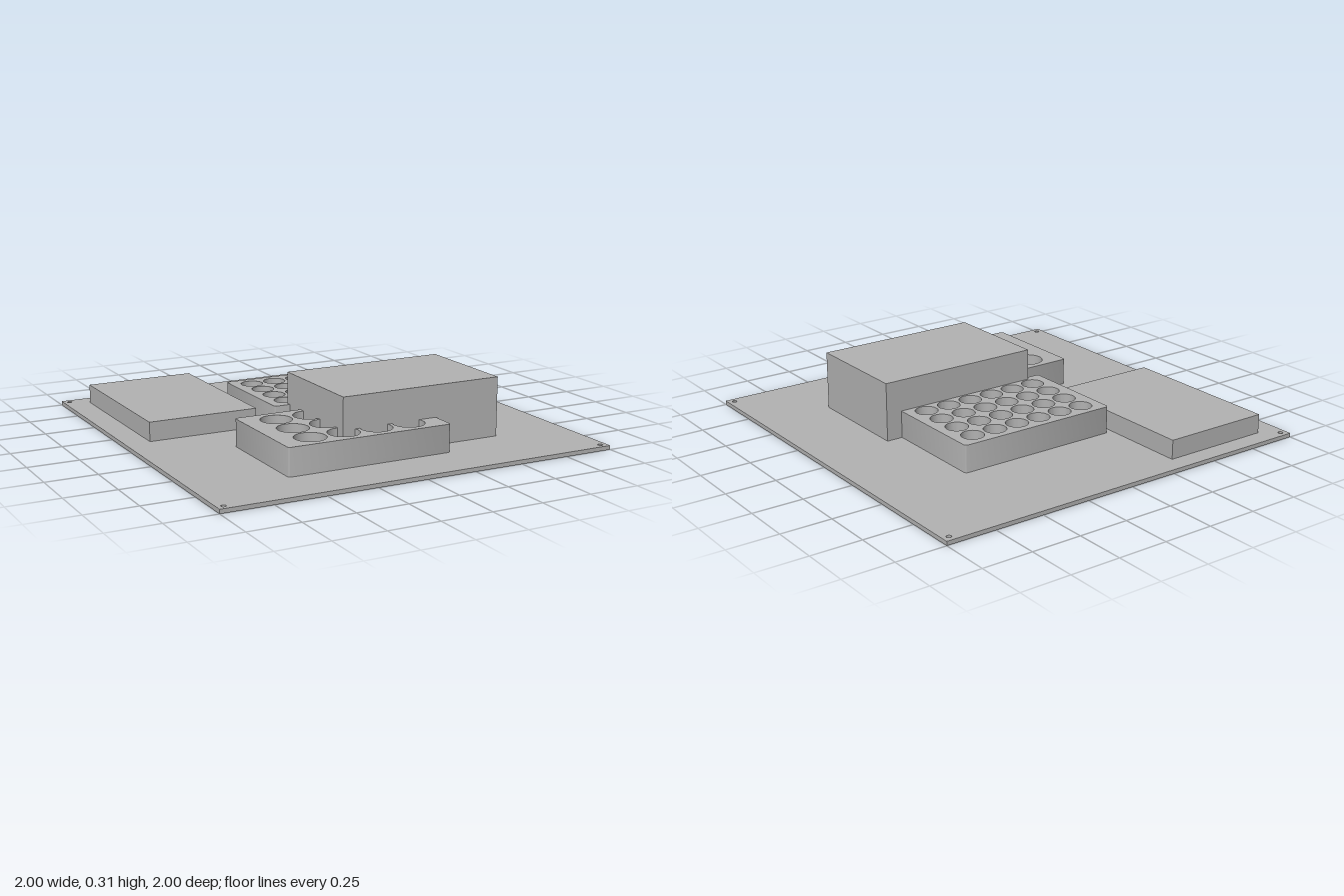
import * as THREE from 'three';
import { toCreasedNormals } from 'three/addons/utils/BufferGeometryUtils.js';

const DECK_TOP = 0.02;
const grey = new THREE.MeshStandardMaterial({ color: 0xb2b2b2 });
grey.name = 'plain grey';

function addMesh(parent, name, geometry) {
  const mesh = new THREE.Mesh(geometry, grey);
  mesh.name = name;
  parent.add(mesh);
}

// Rectangle with rounded corners, centred on the origin
function roundedRect(w, d, r) {
  const x = w / 2, y = d / 2, s = new THREE.Shape();
  s.moveTo(-x + r, -y);
  s.lineTo(x - r, -y).absarc(x - r, -y + r, r, -Math.PI / 2, 0);
  s.lineTo(x, y - r).absarc(x - r, y - r, r, 0, Math.PI / 2);
  s.lineTo(-x + r, y).absarc(-x + r, y - r, r, Math.PI / 2, Math.PI);
  s.lineTo(-x, -y + r).absarc(-x + r, -y + r, r, Math.PI, Math.PI * 1.5);
  return s;
}

function addHole(shape, x, y, r) {
  const hole = new THREE.Path();
  hole.absarc(x, y, r, 0, Math.PI * 2, true);
  shape.holes.push(hole);
}

// Extrudes a floor-plan shape upward from y0 to y1
function slab(shape, y0, y1) {
  const g = new THREE.ExtrudeGeometry(shape, { depth: y1 - y0, bevelEnabled: false, curveSegments: 20 });
  g.rotateX(-Math.PI / 2).translate(0, y0, 0);
  return toCreasedNormals(g, 0.6);
}

// Box standing on the deck, given its plan limits and top height
function block(x0, x1, z0, z1, top) {
  return new THREE.BoxGeometry(x1 - x0, top - DECK_TOP, z1 - z0)
    .translate((x0 + x1) / 2, (top + DECK_TOP) / 2, (z0 + z1) / 2);
}

// Plate with a grid of round wells closed by a thin floor
function wellPlate(name, cx, cz, cols, rows, pitch, radius) {
  const w = 0.835, d = 0.556, corner = 0.015, floor = 0.041, top = 0.155;
  const plate = new THREE.Group();
  plate.name = name;
  const shape = roundedRect(w, d, corner);
  for (let c = 0; c < cols; c++)
    for (let r = 0; r < rows; r++)
      addHole(shape, (c - (cols - 1) / 2) * pitch, (r - (rows - 1) / 2) * pitch, radius);
  addMesh(plate, 'wells', slab(shape, floor, top));
  addMesh(plate, 'plateFloor', slab(roundedRect(w, d, corner), DECK_TOP, floor));
  plate.position.set(cx, 0, cz);
  return plate;
}

export function createModel() {
  const model = new THREE.Group();
  model.name = 'labDeck';

  // Square deck with a mounting hole in each corner
  const deck = new THREE.Shape([[-1, -1], [1, -1], [1, 1], [-1, 1]].map(p => new THREE.Vector2(...p)));
  for (const x of [-0.967, 0.967]) for (const y of [-0.967, 0.967]) addHole(deck, x, y, 0.012);
  addMesh(model, 'deck', slab(deck, 0, DECK_TOP));

  // Plain blocks
  addMesh(model, 'lowBlock', block(-0.878, -0.322, -0.905, -0.07, 0.115));
  addMesh(model, 'tallBlock', block(-0.213, 0.622, 0.056, 0.612, 0.311));

  // Well plates
  model.add(wellPlate('smallWellPlate', 0.123, -0.198, 6, 4, 0.1265, 0.055));
  model.add(wellPlate('largeWellPlate', -0.138, 0.466, 4, 3, 0.17, 0.076));

  return model;
}
